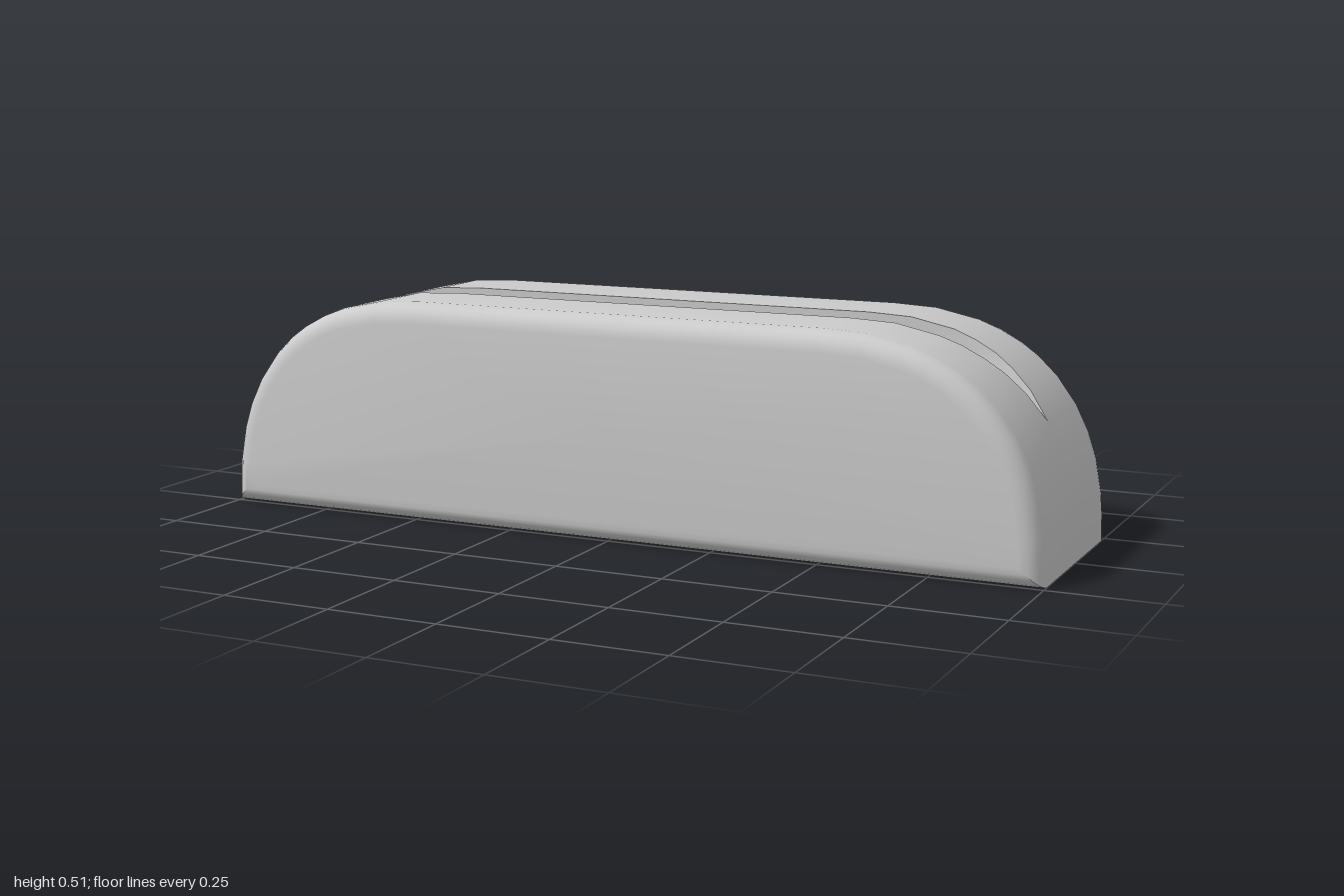
import * as THREE from 'three';
import { toCreasedNormals } from 'three/addons/utils/BufferGeometryUtils.js';

const HALF_WIDTH = 0.272, FILLET = 0.046, HEIGHT = 0.51, LIP = 0.03;

// Long side outline, counter-clockwise: flat bottom, rounded shoulders, flat top
function outline() {
  const xs = [1, 0.995, 0.98, 0.96, 0.93, 0.885, 0.84, 0.8, 0.75, 0.7, 0.6, 0.5];
  const right = xs.map((x) => new THREE.Vector2(
    x, HEIGHT * Math.pow(Math.max(0, 1 - Math.pow((x - 0.5) / 0.5, 2.35)), 1 / 2.35)));
  const left = right.map((p) => new THREE.Vector2(-p.x, p.y)).reverse();
  return [...right, ...left];
}

// Mitred inset of the closed outline
function inset(loop, d) {
  const n = loop.length;
  const normal = (a, b) => new THREE.Vector2(b.y - a.y, a.x - b.x).normalize();
  return loop.map((p, i) => {
    const a = normal(loop[(i + n - 1) % n], p), b = normal(p, loop[(i + 1) % n]);
    const m = a.clone().add(b).multiplyScalar(1 / (1 + a.dot(b)));
    return p.clone().addScaledVector(m, -d);
  });
}

// Half width of the slot, tapering to a point on each shoulder
function slotHalfWidth(p) {
  const x = Math.abs(p.x);
  const taper = [[0.7, 0.053], [0.8, 0.042], [0.885, 0.018], [0.93, 0]];
  if (x <= 0.7) return p.y > 0.1 ? 0.053 : 0;
  for (let i = 1; i < taper.length; i++) {
    const [x0, w0] = taper[i - 1], [x1, w1] = taper[i];
    if (x <= x1) return w0 + (w1 - w0) * (x - x0) / (x1 - x0);
  }
  return 0;
}

function toGeometry(positions) {
  const g = new THREE.BufferGeometry();
  g.setAttribute('position', new THREE.Float32BufferAttribute(positions, 3));
  return toCreasedNormals(g, 0.6);
}

export function createModel() {
  const group = new THREE.Group();
  const material = new THREE.MeshStandardMaterial({ color: 0xcccccc, side: THREE.DoubleSide });
  const loop = outline(), n = loop.length;
  const widths = loop.map(slotHalfWidth);
  const body = [], lip = [];

  const tri = (out, a, b, c, side) => {
    const order = side > 0 ? [a, b, c] : [a, c, b];
    const e1 = b.clone().sub(a), e2 = c.clone().sub(a);
    if (e1.cross(e2).length() < 1e-9) return;
    for (const v of order) out.push(v.x, v.y, v.z * side);
  };
  const quad = (out, a, b, c, d, side) => { tri(out, a, b, c, side); tri(out, a, c, d, side); };
  const at = (p, z) => new THREE.Vector3(p.x, p.y, z);

  // Rings from the flat face, round the fillet, to the slot edge or centre line
  const rings = [];
  const steps = 5;
  for (let j = 0; j <= steps; j++) {
    const t = (j / steps) * Math.PI / 2;
    const z = HALF_WIDTH - FILLET * (1 - Math.cos(t));
    rings.push(inset(loop, FILLET * (1 - Math.sin(t))).map((p) => at(p, z)));
  }
  rings.push(loop.map((p, i) => at(p, widths[i])));
  const lower = inset(loop, LIP).map((p, i) => at(p, widths[i]));
  const centre = new THREE.Vector3(0, 0.25, HALF_WIDTH);

  for (const side of [1, -1]) {
    for (let i = 0; i < n; i++) {
      const k = (i + 1) % n;
      tri(body, centre, rings[0][i], rings[0][k], side);
      for (let j = 0; j + 1 < rings.length; j++) {
        quad(body, rings[j][i], rings[j + 1][i], rings[j + 1][k], rings[j][k], side);
      }
      // Thin wall turned inwards along the slot
      if (widths[i] > 0 || widths[k] > 0) {
        const top = rings[rings.length - 1];
        quad(lip, top[i], lower[i], lower[k], top[k], side);
      }
    }
  }

  const shell = new THREE.Mesh(toGeometry(body), material);
  shell.name = 'roundedBody';
  const slot = new THREE.Mesh(toGeometry(lip), material);
  slot.name = 'slotLip';
  group.add(shell, slot);
  return group;
}
